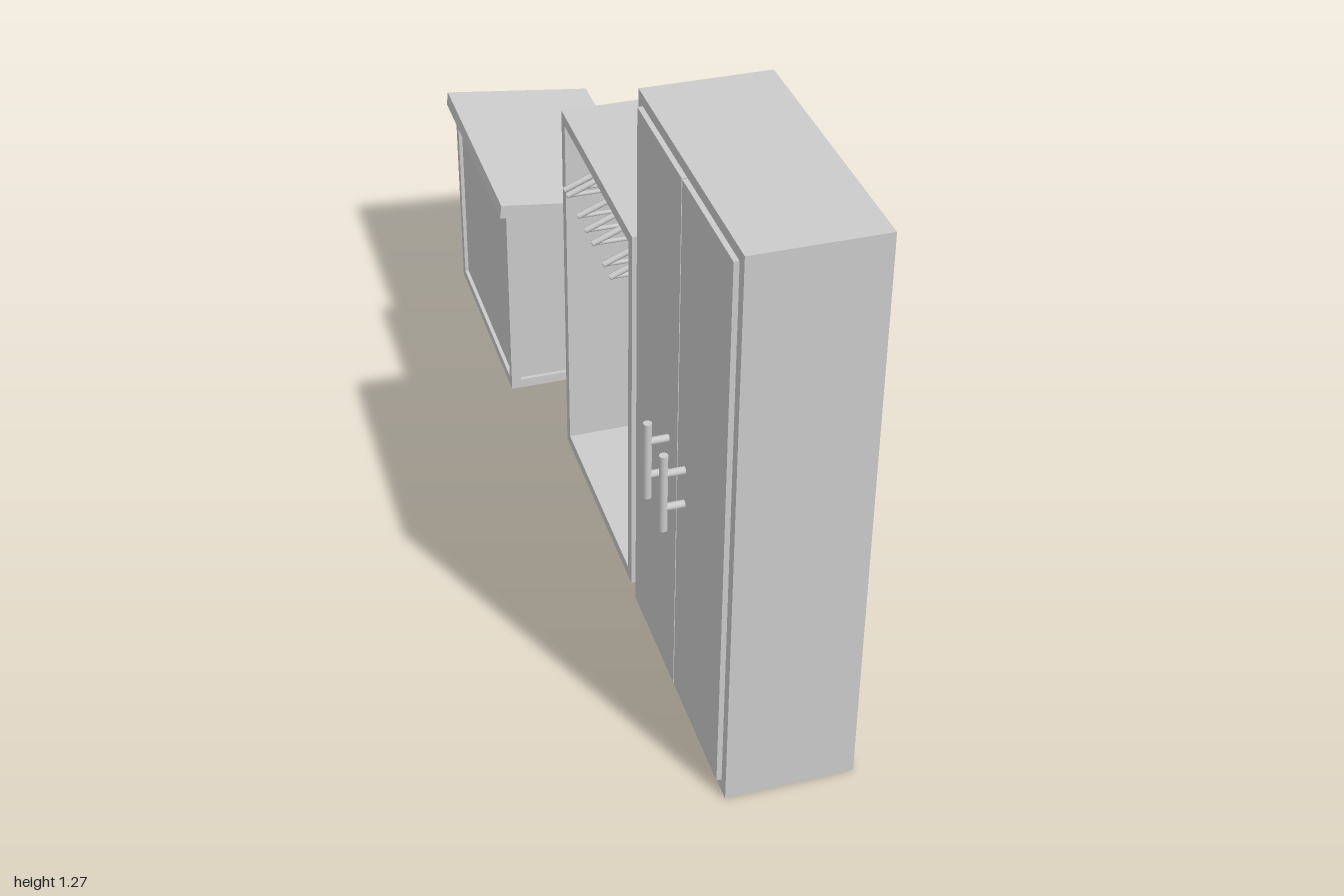
import * as THREE from 'three';

const mat = new THREE.MeshStandardMaterial({ color: 0xcccccc, side: THREE.DoubleSide });

function add(parent, name, geometry) {
  const mesh = new THREE.Mesh(geometry, mat);
  mesh.name = name;
  parent.add(mesh);
  return mesh;
}

// Box given by its limits on each axis
function box(parent, name, x0, x1, y0, y1, z0, z1) {
  const mesh = add(parent, name, new THREE.BoxGeometry(x1 - x0, y1 - y0, z1 - z0));
  mesh.position.set((x0 + x1) / 2, (y0 + y1) / 2, (z0 + z1) / 2);
  return mesh;
}

// Round bar between two points
function bar(parent, name, a, b, r, sides = 8) {
  const p = new THREE.Vector3(...a), q = new THREE.Vector3(...b);
  const d = q.clone().sub(p);
  const mesh = add(parent, name, new THREE.CylinderGeometry(r, r, d.length(), sides));
  mesh.position.copy(p).add(q).multiplyScalar(0.5);
  mesh.quaternion.setFromUnitVectors(new THREE.Vector3(0, 1, 0), d.normalize());
  return mesh;
}

function group(parent, name) {
  const g = new THREE.Group();
  g.name = name;
  parent.add(g);
  return g;
}

// Rectangular tube open along x, as one extruded outline with a hole
function carcass(parent, name, x0, x1, y0, y1, z0, z1, t) {
  const s = new THREE.Shape([[z0, y0], [z1, y0], [z1, y1], [z0, y1]]
    .map(([z, y]) => new THREE.Vector2(-z, y)));
  s.holes.push(new THREE.Path([[z0 + t, y0 + t], [z1 - t, y0 + t], [z1 - t, y1 - t], [z0 + t, y1 - t]]
    .map(([z, y]) => new THREE.Vector2(-z, y))));
  const g = new THREE.ExtrudeGeometry(s, { depth: x1 - x0, bevelEnabled: false });
  g.rotateY(Math.PI / 2);
  g.translate(x0, 0, 0);
  return add(parent, name, g);
}

function buildWardrobe(root) {
  const g = group(root, 'wardrobe');
  carcass(g, 'wardrobeBody', -0.09, 0.18, 0, 1.27, 0.39, 1.0, 0.024);
  // Pair of doors with a narrow gap
  box(g, 'doorLeft', -0.1, -0.088, 0.027, 1.245, 0.416, 0.69);
  box(g, 'doorRight', -0.1, -0.088, 0.027, 1.245, 0.694, 0.974);
  // Bar handles on two posts, which pass through the doors
  for (const z of [0.635, 0.74]) {
    const h = group(g, 'doorHandle');
    bar(h, 'handleBar', [-0.143, 0.49, z], [-0.143, 0.672, z], 0.009, 12);
    for (const y of [0.545, 0.627]) bar(h, 'handlePost', [-0.143, y, z], [-0.085, y, z], 0.008, 12);
  }
}

function buildHanger(parent, z) {
  const g = group(parent, 'hanger');
  const peak = [0.015, 0.805, z], near = [-0.105, 0.754, z], far = [0.132, 0.754, z];
  bar(g, 'shoulderNear', peak, near, 0.007);
  bar(g, 'shoulderFar', peak, far, 0.007);
  bar(g, 'crossBar', near, far, 0.005);
  // Hook over the rail
  const hook = new THREE.CatmullRomCurve3([
    [0.015, 0.805], [0.015, 0.825], [0.029, 0.842], [0.015, 0.857], [0.001, 0.845],
  ].map(([x, y]) => new THREE.Vector3(x, y, z)));
  add(g, 'hook', new THREE.TubeGeometry(hook, 12, 0.003, 6));
}

function buildHangingCabinet(root) {
  const g = group(root, 'hangingCabinet');
  carcass(g, 'cabinetBody', -0.09, 0.18, 0.01, 0.915, -0.195, 0.35, 0.026);
  box(g, 'backPanel', 0.138, 0.146, 0.03, 0.895, -0.175, 0.33);
  bar(g, 'rail', [0.015, 0.846, -0.172], [0.015, 0.846, 0.327], 0.007, 12);
  for (const z of [-0.125, -0.1, -0.01, 0.05, 0.105, 0.19, 0.24]) buildHanger(g, z);
}

function buildCounter(root) {
  const g = group(root, 'counter');
  const x0 = -0.17, x1 = 0.165, z0 = -0.98, z1 = -0.43, y0 = 0.01, w = 0.024;
  const slope = 0.12;
  const topAt = (x) => 0.506 - slope * x;

  // Sloping end frames with recessed panels; the underside is open
  const outline = (Type, m) => new Type([
    [x0 + m, y0 + m], [x1 - m, y0 + m], [x1 - m, topAt(x1 - m) - m], [x0 + m, topAt(x0 + m) - m],
  ].map(([x, y]) => new THREE.Vector2(x, y)));
  for (const end of [z0, z1 - w]) {
    const frame = outline(THREE.Shape, 0);
    frame.holes.push(outline(THREE.Path, w));
    add(g, 'endFrame', new THREE.ExtrudeGeometry(frame, { depth: w, bevelEnabled: false })).position.z = end;
    const panel = new THREE.ExtrudeGeometry(outline(THREE.Shape, w * 0.8), { depth: 0.006, bevelEnabled: false });
    add(g, 'endPanel', panel).position.z = end + 0.009;
  }

  // Framed panel on one long side, flush panel on the other
  const zi0 = z0 + w, zi1 = z1 - w, yt = topAt(x0 + w);
  box(g, 'frontBottomRail', x0, x0 + w, y0, y0 + w, zi0, zi1);
  box(g, 'frontTopRail', x0, x0 + w, yt - w, yt, zi0, zi1);
  box(g, 'frontPanel', x0 + 0.009, x0 + 0.015, y0 + w * 0.8, yt - w * 0.8, zi0, zi1);
  box(g, 'backPanel', x1 - 0.012, x1, y0, topAt(x1), zi0, zi1);

  // Sloping worktop
  const top = box(g, 'worktop', -0.188, 0.184, 0.503, 0.537, -1.0, -0.412);
  top.rotation.z = -slope;
}

export function createModel() {
  const root = new THREE.Group();
  root.name = 'furnitureSet';
  buildWardrobe(root);
  buildHangingCabinet(root);
  buildCounter(root);
  return root;
}
